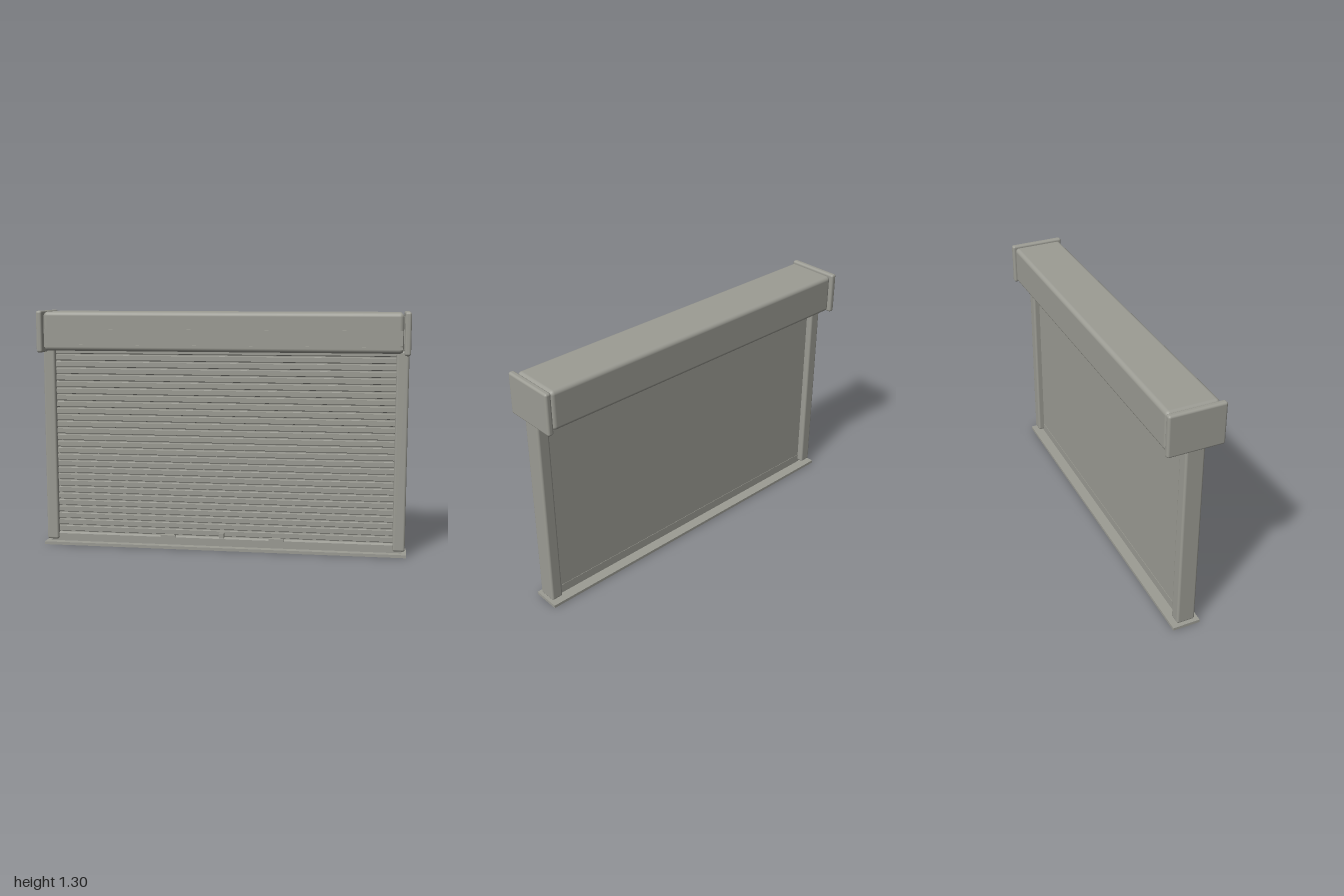
import * as THREE from 'three';
import { RoundedBoxGeometry } from 'three/addons/geometries/RoundedBoxGeometry.js';

export function createModel() {
  const model = new THREE.Group();
  model.name = 'rollerShutter';
  const metal = new THREE.MeshStandardMaterial({ color: 0x9c9c94 });
  metal.name = 'warm grey metal';

  const add = (name, geometry) => {
    const mesh = new THREE.Mesh(geometry, metal);
    mesh.name = name;
    model.add(mesh);
    return mesh;
  };
  // Box given by its extents; a radius rounds its edges
  const box = (name, x0, x1, y0, y1, z0, z1, r = 0) => {
    const size = [x1 - x0, y1 - y0, z1 - z0];
    const geometry = r ? new RoundedBoxGeometry(...size, 3, r) : new THREE.BoxGeometry(...size);
    add(name, geometry).position.set((x0 + x1) / 2, (y0 + y1) / 2, (z0 + z1) / 2);
  };
  // Closed (z, y) outline swept across the width
  const sweep = (name, points, halfWidth) => {
    const shape = new THREE.Shape(points.map(([z, y]) => new THREE.Vector2(-z, y)));
    const geometry = new THREE.ExtrudeGeometry(shape, { depth: halfWidth * 2, bevelEnabled: false });
    geometry.translate(0, 0, -halfWidth).rotateY(Math.PI / 2);
    add(name, geometry);
  };

  // Roller housing with a shallow front cover between seams
  box('housing', -0.96, 0.96, 1.09, 1.3, -0.14, 0.135, 0.022);
  box('housingCore', -0.97, 0.97, 1.11, 1.28, -0.12, 0.115);
  box('frontCover', -0.955, 0.955, 1.132, 1.208, 0.13, 0.138);
  box('coverLip', -0.955, 0.955, 1.112, 1.124, 0.13, 0.138);

  // End caps, guide rails and feet on both sides
  for (const s of [-1, 1]) {
    const side = s < 0 ? 'right' : 'left';
    const span = (a, b) => (s < 0 ? [-b, -a] : [a, b]);
    box(side + 'EndCap', ...span(0.964, 0.997), 1.08, 1.305, -0.148, 0.15, 0.012);
    box(side + 'GuideRail', ...span(0.926, 0.992), 0.026, 1.1, -0.05, 0.05, 0.012);
    box(side + 'RailFoot', ...span(0.92, 0.975), 0.014, 0.035, -0.015, 0.035);
    box(side + 'LiftHandle', ...span(0.26, 0.34), 0.057, 0.072, 0.025, 0.054);
  }

  // Interlocking slats with a flat back and narrow recessed joints
  const slats = 28, bottom = 0.065, pitch = (1.1 - bottom) / slats;
  const outline = [[-0.016, bottom]];
  for (let i = 0; i < slats; i++) {
    const y = bottom + i * pitch;
    outline.push([0.022, y], [0.022, y + 0.005], [0.03, y + 0.009], [0.03, y + pitch - 0.003], [0.022, y + pitch - 0.0005]);
  }
  outline.push([-0.016, bottom + slats * pitch]);
  sweep('slatCurtain', outline, 0.932);

  // Bottom rail with chamfered top edge, and its lock
  sweep('bottomRail', [
    [-0.018, 0.016], [0.035, 0.016], [0.035, 0.057], [0.033, 0.063], [0.028, 0.066], [-0.018, 0.066],
  ], 0.932);
  box('lock', -0.013, 0.013, 0.065, 0.092, 0.02, 0.053);

  // Sill plate with a long groove underneath
  const sill = new THREE.Shape([[-1, -0.075], [1, -0.075], [1, 0.075], [-1, 0.075]].map(p => new THREE.Vector2(...p)));
  sill.holes.push(new THREE.Path([[-0.94, -0.035], [-0.94, 0.015], [0.94, 0.015], [0.94, -0.035]].map(p => new THREE.Vector2(...p))));
  const sillGeometry = new THREE.ExtrudeGeometry(sill, { depth: 0.016, bevelEnabled: false });
  add('sill', sillGeometry.rotateX(-Math.PI / 2));
  box('sillGrooveFloor', -0.945, 0.945, 0.006, 0.0155, -0.02, 0.04);

  return model;
}
